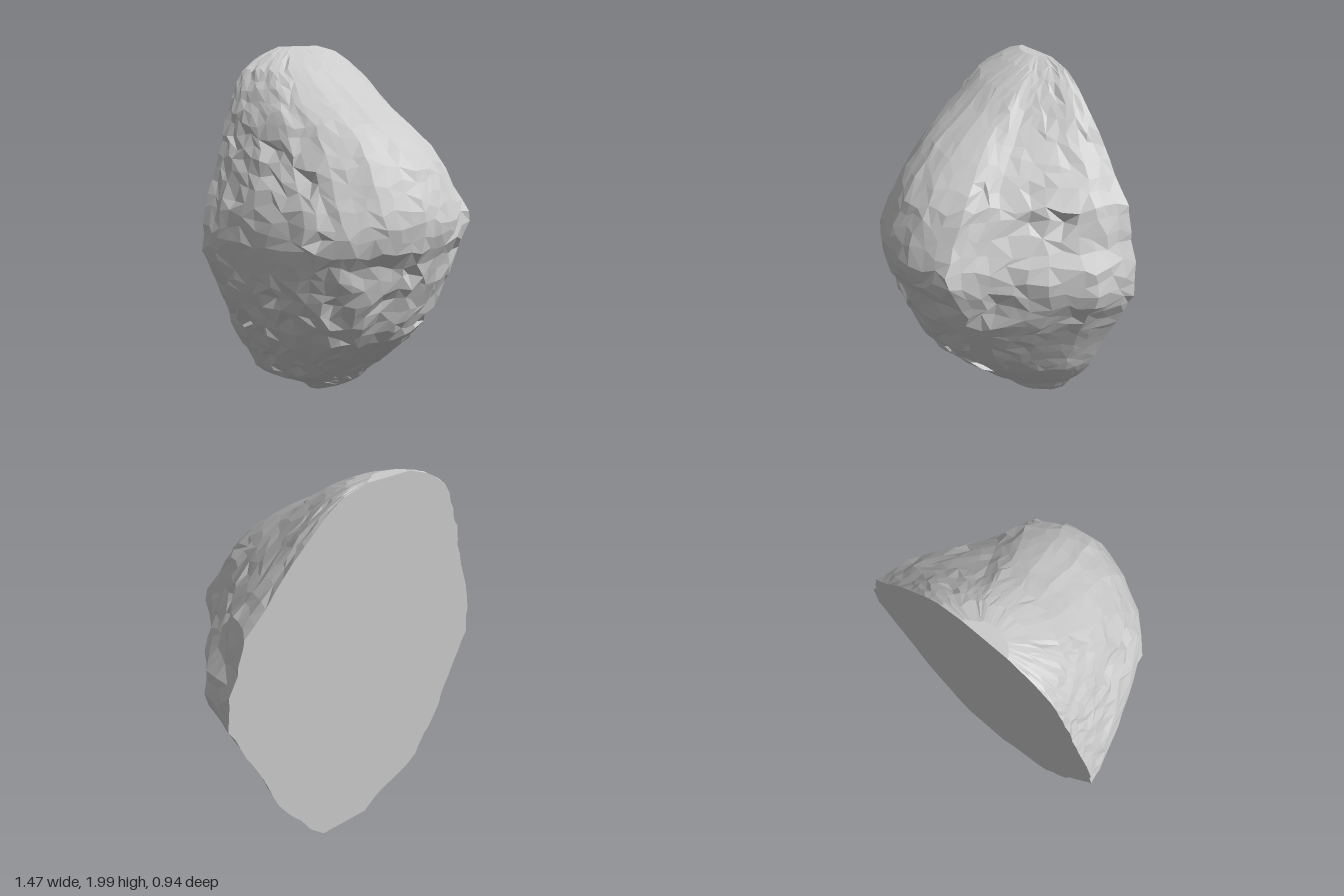
import * as THREE from 'three';

const BACK = -0.475;
const ROWS = 36, SUB = 3;

// Height, left edge, right edge, frontmost z
const levels = [
  [0.01, -0.1, 0.19, -0.40], [0.05, -0.13, 0.23, -0.32], [0.1, -0.19, 0.28, -0.25],
  [0.19, -0.38, 0.33, -0.17], [0.26, -0.45, 0.39, -0.07], [0.42, -0.53, 0.49, 0.1],
  [0.55, -0.585, 0.53, 0.23], [0.66, -0.625, 0.575, 0.285], [0.8, -0.67, 0.64, 0.345],
  [0.92, -0.71, 0.69, 0.39], [1.0, -0.73, 0.73, 0.40], [1.08, -0.725, 0.725, 0.455],
  [1.2, -0.70, 0.71, 0.47], [1.3, -0.67, 0.66, 0.44], [1.45, -0.625, 0.63, 0.365],
  [1.55, -0.585, 0.54, 0.275], [1.66, -0.56, 0.44, 0.145], [1.79, -0.51, 0.33, -0.05],
  [1.9, -0.45, 0.22, -0.2], [1.97, -0.33, 0.12, -0.33], [2, -0.24, 0.0, -0.41],
];

// Outlines of horizontal slices from left to right: side (-1..1), depth (0..1)
const lower = [
  [-1, 0], [-0.98, 0.18], [-0.9, 0.42], [-0.77, 0.66], [-0.59, 0.84], [-0.34, 0.96],
  [-0.04, 1], [0.22, 0.99], [0.46, 0.92], [0.64, 0.74], [0.8, 0.51], [0.94, 0.26], [1, 0],
];
const middle = [
  [-1, 0], [-0.98, 0.13], [-0.88, 0.38], [-0.73, 0.69], [-0.54, 0.85], [-0.3, 0.94],
  [-0.04, 1], [0.18, 0.985], [0.5, 0.89], [0.6, 0.69], [0.82, 0.46], [0.98, 0.24], [1, 0],
];
const upper = [
  [-1, 0], [-0.97, 0.15], [-0.89, 0.36], [-0.76, 0.59], [-0.58, 0.77], [-0.34, 0.92],
  [-0.05, 1], [0.21, 0.98], [0.45, 0.85], [0.55, 0.65], [0.75, 0.42], [0.94, 0.2], [1, 0],
];

const { lerp, smoothstep } = THREE.MathUtils;

function levelAt(y) {
  let i = 0;
  while (i < levels.length - 2 && y > levels[i + 1][0]) i++;
  const a = levels[i], b = levels[i + 1];
  const t = (y - a[0]) / (b[0] - a[0]);
  return a.map((v, k) => lerp(v, b[k], t));
}

function profileAt(profile, u) {
  const i = Math.min(Math.floor(u), profile.length - 2);
  return profile[i].map((v, k) => lerp(v, profile[i + 1][k], u - i));
}

// Slice outline at a height; the ridge above the lower right facet climbs to the right
function sliceAt(y, u) {
  const [low, mid, top] = [lower, middle, upper].map((p) => profileAt(p, u));
  const ridge = 0.86 + 0.12 * Math.max(0, mid[0]);
  const a = smoothstep(y, ridge - 0.08, ridge + 0.08), b = smoothstep(y, 1.1, 1.45);
  return mid.map((v, k) => lerp(lerp(low[k], v, a), top[k], b));
}

function seeded(seed) {
  return () => {
    seed = (seed * 1664525 + 1013904223) % 4294967296;
    return seed / 4294967296;
  };
}

function rockGeometry() {
  const rand = seeded(7);
  const jitter = (amount) => (rand() - 0.5) * 2 * amount;
  const cols = (middle.length - 1) * SUB;
  const pos = [], index = [];
  // rows crowd towards both ends
  const rowHeight = (t) => 0.01 + 1.99 * lerp(t, (1 - Math.cos(Math.PI * t)) / 2, 0.4);

  for (let r = 0; r <= ROWS; r++) {
    const end = r === 0 || r === ROWS;
    for (let c = 0; c <= cols; c++) {
      const edge = c === 0 || c === cols;
      // points wander over the surface so rows and columns do not show
      const y = rowHeight((r + (end ? 0 : jitter(0.33))) / ROWS);
      const u = (c + (edge ? 0 : jitter(0.25))) / SUB;
      const [, left, right, front] = levelAt(y);
      const [side, depth] = sliceAt(y, u);
      // the upper face and the lower right facet are smoother than the rest
      const smooth = (y > 1.1 && side > -0.6 && side < 0.4) || (y < 0.85 && side > 0.5);
      // narrow slices get finer relief
      const relief = end ? 0 : Math.min(1, (right - left) / 1.2);
      let push = jitter(relief * (smooth ? 0.004 : 0.011));
      // scattered small pits
      if (rand() < 0.04 && !smooth && !edge) push -= 0.035 * relief;
      const x = (left + right) / 2 + side * (right - left) / 2 + side * push;
      const z = Math.max(BACK, BACK + depth * (front - BACK + push));
      pos.push(x, y, z);
    }
  }

  // Rough shell and flat back
  const id = (r, c) => r * (cols + 1) + c;
  for (let r = 0; r < ROWS; r++) {
    for (let c = 0; c < cols; c++) {
      const a = id(r, c), b = id(r, c + 1), d = id(r + 1, c), e = id(r + 1, c + 1);
      if (rand() < 0.5) index.push(a, b, e, a, e, d);
      else index.push(a, b, d, b, e, d);
    }
    const a = id(r, cols), b = id(r, 0), d = id(r + 1, cols), e = id(r + 1, 0);
    index.push(a, b, e, a, e, d);
  }
  // Top and bottom caps
  for (let c = 1; c < cols; c++) {
    index.push(id(ROWS, 0), id(ROWS, c), id(ROWS, c + 1));
    index.push(id(0, 0), id(0, c + 1), id(0, c));
  }

  const geo = new THREE.BufferGeometry();
  geo.setAttribute('position', new THREE.Float32BufferAttribute(pos, 3));
  geo.setIndex(index);
  const flat = geo.toNonIndexed();
  flat.computeVertexNormals();
  return flat;
}

export function createModel() {
  const group = new THREE.Group();
  group.name = 'halfBoulder';
  const rock = new THREE.Mesh(
    rockGeometry(),
    new THREE.MeshStandardMaterial({ color: 0xcccccc, flatShading: true })
  );
  rock.name = 'rock';
  group.add(rock);
  return group;
}
